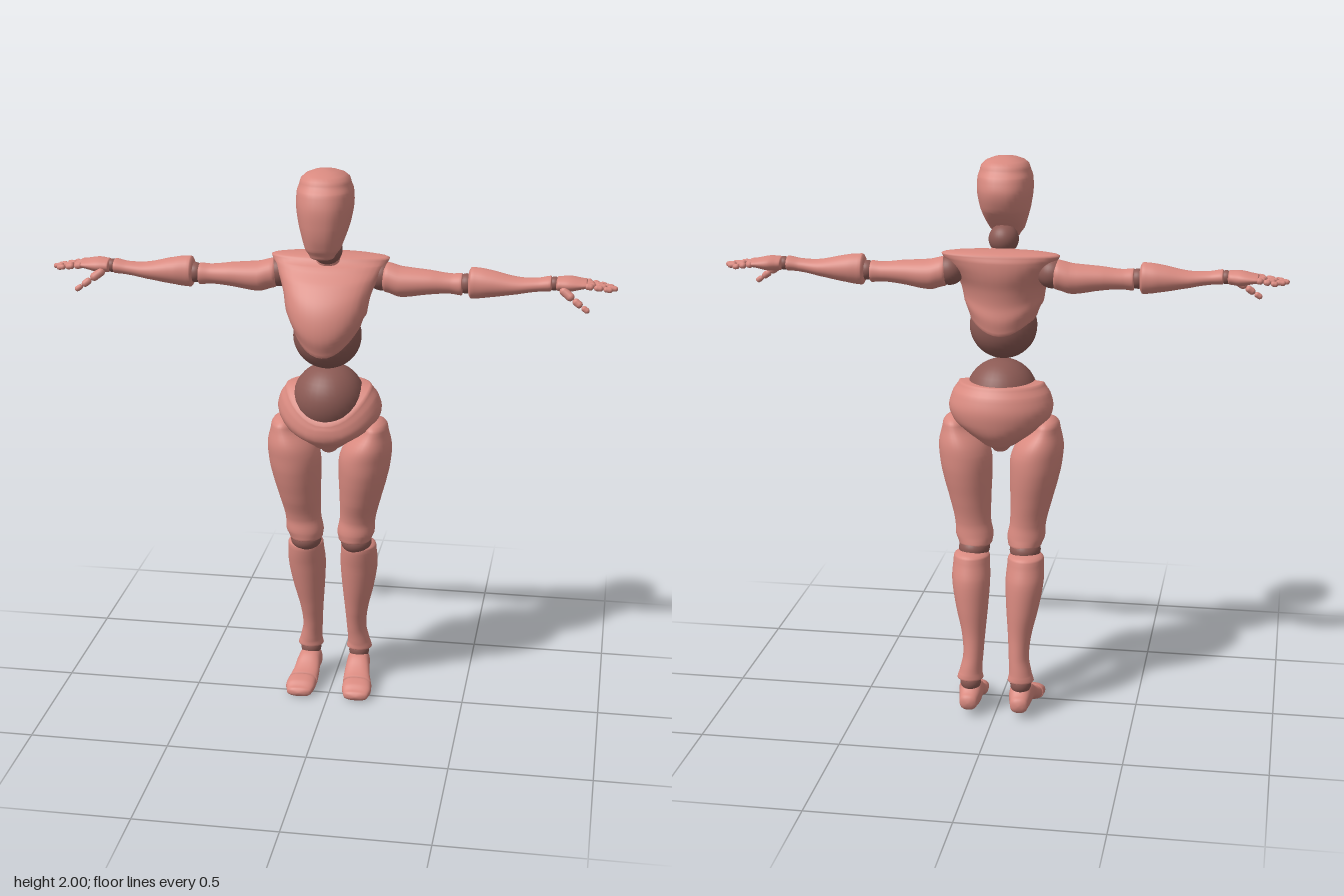
import * as THREE from 'three';

const skin = new THREE.MeshStandardMaterial({ color: 0xd98a80 });
skin.name = 'rose';
const dark = new THREE.MeshStandardMaterial({ color: 0x8c5a54 });
dark.name = 'dark rose';

// For each loft axis: coordinate slots of (along, u, v), kept right-handed.
const SLOTS = { x: [0, 1, 2], y: [1, 2, 0], z: [2, 0, 1] };
const SIDES = 36, STEPS = 5;

// Smooth interpolation through the cross-sections.
function spline(rings) {
  const out = [], n = rings.length;
  for (let i = 0; i < n - 1; i++) {
    const a = rings[Math.max(0, i - 1)], b = rings[i], c = rings[i + 1], d = rings[Math.min(n - 1, i + 2)];
    for (let s = 0; s < STEPS; s++) {
      const t = s / STEPS;
      out.push(b.map((_, k) => k === 0 ? b[0] + (c[0] - b[0]) * t
        : 0.5 * (2 * b[k] + (c[k] - a[k]) * t + (2 * a[k] - 5 * b[k] + 4 * c[k] - d[k]) * t * t
          + (3 * b[k] - a[k] - 3 * c[k] + d[k]) * t * t * t)));
    }
  }
  out.push(rings[n - 1]);
  return out;
}

// Solid through sections [along, uMin, uMax, vMin, vMax] with domed ends.
function loft(name, axis, sections, { side = 1, start = 0.01, end = 0.01, power = 1, warp = null } = {}) {
  const rings = spline(sections);
  const dome = (r, h) => [0.3, 0.65, 1.05, 1.4, 1.57].map(a => {
    const k = Math.cos(a), cu = (r[1] + r[2]) / 2, cv = (r[3] + r[4]) / 2;
    return [r[0] + h * Math.sin(a), cu + (r[1] - cu) * k, cu + (r[2] - cu) * k,
      cv + (r[3] - cv) * k, cv + (r[4] - cv) * k];
  });
  const all = [...dome(rings[0], -start).reverse(), ...rings, ...dome(rings[rings.length - 1], end)];
  const pos = [], idx = [], [st, su, sv] = SLOTS[axis];
  const soft = w => Math.sign(w) * Math.pow(Math.abs(w), power);
  for (const [t, u0, u1, v0, v1] of all) {
    for (let j = 0; j < SIDES; j++) {
      const a = j / SIDES * Math.PI * 2, p = [0, 0, 0];
      p[st] = t;
      p[su] = (u0 + u1) / 2 + (u1 - u0) / 2 * soft(Math.cos(a));
      p[sv] = (v0 + v1) / 2 + (v1 - v0) / 2 * soft(Math.sin(a));
      if (warp) warp(p);
      pos.push(p[0] * side, p[1], p[2]);
    }
  }
  for (let i = 0; i < all.length - 1; i++) {
    for (let j = 0; j < SIDES; j++) {
      const k = (j + 1) % SIDES, a = i * SIDES + j, b = i * SIDES + k, c = a + SIDES, d = b + SIDES;
      if (side > 0) idx.push(a, b, c, b, d, c);
      else idx.push(a, c, b, b, c, d);
    }
  }
  const g = new THREE.BufferGeometry();
  g.setAttribute('position', new THREE.Float32BufferAttribute(pos, 3));
  g.setIndex(idx);
  g.computeVertexNormals();
  const m = new THREE.Mesh(g, skin);
  m.name = name;
  return m;
}

function ball(name, x, y, z, rx, ry = rx, rz = rx) {
  const m = new THREE.Mesh(new THREE.SphereGeometry(1, 32, 20).scale(rx, ry, rz), dark);
  m.position.set(x, y, z);
  m.name = name;
  return m;
}

// Rounded rod between two points, for finger bones.
function bone(name, a, b, r) {
  const p = new THREE.Vector3(...a), q = new THREE.Vector3(...b), d = q.clone().sub(p);
  const m = new THREE.Mesh(new THREE.CapsuleGeometry(r, Math.max(0.001, d.length() - 2 * r), 5, 10), skin);
  m.position.copy(p).add(q).multiplyScalar(0.5);
  m.quaternion.setFromUnitVectors(new THREE.Vector3(0, 1, 0), d.normalize());
  m.name = name;
  return m;
}

function arm(side) {
  const g = new THREE.Group(), s = side;
  g.name = side > 0 ? 'leftArm' : 'rightArm';
  g.add(ball('shoulderJoint', s * 0.18, 1.612, -0.03, 0.052));
  g.add(loft('upperArm', 'x', [
    [0.20, 1.555, 1.66, -0.085, 0.028], [0.25, 1.542, 1.648, -0.085, 0.035], [0.35, 1.556, 1.64, -0.07, 0.03],
    [0.42, 1.562, 1.632, -0.058, 0.022], [0.46, 1.558, 1.635, -0.055, 0.025]], { side, start: 0.025, end: 0.008 }));
  g.add(ball('elbowJoint', s * 0.478, 1.6, -0.015, 0.035));
  g.add(loft('forearm', 'x', [
    [0.495, 1.548, 1.658, -0.065, 0.032], [0.55, 1.555, 1.652, -0.065, 0.035], [0.65, 1.572, 1.632, -0.05, 0.032],
    [0.72, 1.585, 1.632, -0.04, 0.028], [0.765, 1.588, 1.64, -0.045, 0.03]], { side, start: 0.015, end: 0.006 }));
  g.add(ball('wristJoint', s * 0.778, 1.614, -0.01, 0.024));
  g.add(loft('palm', 'x', [
    [0.79, 1.59, 1.638, -0.05, 0.028], [0.83, 1.588, 1.64, -0.065, 0.03], [0.885, 1.6, 1.63, -0.067, 0.022]],
    { side, start: 0.008, end: 0.006 }));
  // Four fingers of three bones each
  [[-0.058, 0.955], [-0.034, 0.98], [-0.01, 0.993], [0.013, 0.975]].forEach(([z, tip], i) => {
    const len = (tip - 0.88) / 3;
    for (let k = 0; k < 3; k++) {
      bone.x = 0.88 + k * len;
      const x = 0.88 + k * len, y = 1.615 - k * 0.004;
      g.add(bone('finger' + (i + 1), [s * x, y, z], [s * (x + len), y - 0.004, z], 0.0115 - k * 0.001));
    }
  });
  // Thumb
  const thumb = [[0.8, 1.605, 0.02], [0.845, 1.572, 0.036], [0.875, 1.55, 0.044], [0.9, 1.533, 0.048]];
  for (let k = 0; k < 3; k++) {
    const [a, b] = [thumb[k], thumb[k + 1]].map(p => [s * p[0], p[1], p[2]]);
    g.add(bone('thumb', a, b, 0.015 - k * 0.0025));
  }
  return g;
}

function leg(side) {
  const g = new THREE.Group(), s = side;
  g.name = side > 0 ? 'leftLeg' : 'rightLeg';
  g.add(loft('thigh', 'y', [
    [1.06, -0.095, 0.07, 0.115, 0.21], [1.0, -0.122, 0.093, 0.06, 0.223], [0.95, -0.13, 0.095, 0.036, 0.222],
    [0.88, -0.127, 0.087, 0.033, 0.21], [0.78, -0.11, 0.06, 0.036, 0.184], [0.7, -0.097, 0.032, 0.035, 0.165],
    [0.65, -0.1, 0.033, 0.026, 0.162], [0.62, -0.105, 0.03, 0.03, 0.15]].reverse(),
    { side, start: 0.012, end: 0.035 }));
  g.add(ball('kneeJoint', s * 0.093, 0.602, -0.05, 0.056, 0.045, 0.062));
  g.add(loft('shin', 'y', [
    [0.135, -0.192, -0.102, 0.045, 0.14], [0.16, -0.19, -0.1, 0.05, 0.132], [0.22, -0.182, -0.09, 0.047, 0.12],
    [0.3, -0.175, -0.068, 0.042, 0.127], [0.4, -0.177, -0.04, 0.034, 0.15], [0.5, -0.172, -0.016, 0.029, 0.166],
    [0.58, -0.148, 0.002, 0.034, 0.163]], { side, start: 0.008, end: 0.022 }));
  g.add(ball('ankleJoint', s * 0.092, 0.118, -0.145, 0.038));
  g.add(loft('foot', 'z', [
    [-0.195, 0.06, 0.125, 0.025, 0.085], [-0.15, 0.05, 0.133, 0.022, 0.118], [-0.1, 0.05, 0.138, 0.03, 0.11],
    [-0.06, 0.048, 0.145, 0.02, 0.082], [-0.025, 0.048, 0.155, 0.004, 0.066]], { side, start: 0.017, end: 0.006, power: 0.85 }));
  g.add(loft('toes', 'z', [
    [-0.015, 0.05, 0.158, 0.001, 0.062], [0.02, 0.052, 0.16, 0, 0.054], [0.045, 0.06, 0.153, 0, 0.038]],
    { side, start: 0.006, end: 0.017, power: 0.8 }));
  return g;
}

export function createModel() {
  const model = new THREE.Group();
  model.name = 'jointedFigure';

  // Head and neck
  model.add(loft('head', 'y', [
    [1.715, 0.105, 0.178, -0.042, 0.042], [1.74, 0.06, 0.193, -0.06, 0.06], [1.78, 0, 0.206, -0.074, 0.074],
    [1.82, -0.04, 0.212, -0.086, 0.086], [1.88, -0.06, 0.212, -0.096, 0.096], [1.93, -0.048, 0.198, -0.095, 0.095],
    [1.96, -0.026, 0.175, -0.086, 0.086]], { start: 0.012, end: 0.04, power: 0.85 }));
  model.add(ball('neckJoint', 0, 1.715, 0.038, 0.053));
  model.add(loft('neckBase', 'y', [
    [1.66, -0.04, 0.05, -0.05, 0.05], [1.685, -0.025, 0.058, -0.042, 0.042]], { end: 0.004 }));

  // Chest, its lower edge arched upward at the sides
  model.add(loft('chest', 'y', [
    [1.36, -0.078, 0.165, -0.118, 0.118], [1.42, -0.085, 0.185, -0.138, 0.138], [1.48, -0.08, 0.182, -0.145, 0.145],
    [1.54, -0.087, 0.16, -0.153, 0.153], [1.6, -0.102, 0.115, -0.172, 0.172], [1.65, -0.105, 0.06, -0.195, 0.195],
    [1.675, -0.098, 0.03, -0.208, 0.208]], {
    start: 0.006, end: 0.015,
    warp: p => {
      const k = Math.min(1, (p[0] / 0.13) ** 2) * 0.32 + (p[2] < 0 ? 0.1 * Math.min(1, -p[2] / 0.08) : 0);
      p[1] = 1.69 - (1.69 - p[1]) * (1 - k * Math.max(0, Math.min(1, (1.69 - p[1]) / 0.33)));
    },
  }));

  // Waist balls
  model.add(ball('upperWaistJoint', 0, 1.408, 0.035, 0.12, 0.118, 0.108));
  model.add(ball('lowerWaistJoint', 0, 1.167, 0, 0.128, 0.128, 0.13));

  // Pelvis, its upper edge dipping at the front
  model.add(loft('pelvis', 'y', [
    [0.975, -0.07, 0.035, -0.03, 0.03], [1.0, -0.115, 0.07, -0.065, 0.065], [1.04, -0.148, 0.1, -0.12, 0.12],
    [1.08, -0.162, 0.12, -0.168, 0.168], [1.13, -0.166, 0.13, -0.186, 0.186], [1.18, -0.152, 0.13, -0.174, 0.174],
    [1.215, -0.13, 0.125, -0.152, 0.152]], {
    start: 0.012, end: 0.008,
    warp: p => {
      const k = p[2] > 0 ? 0.46 * Math.min(1, (p[2] / 0.125) ** 1.6) : 0;
      if (p[1] > 0.965) p[1] = 0.965 + (p[1] - 0.965) * (1 - k);
    },
  }));

  for (const side of [1, -1]) model.add(arm(side), leg(side));
  return model;
}
